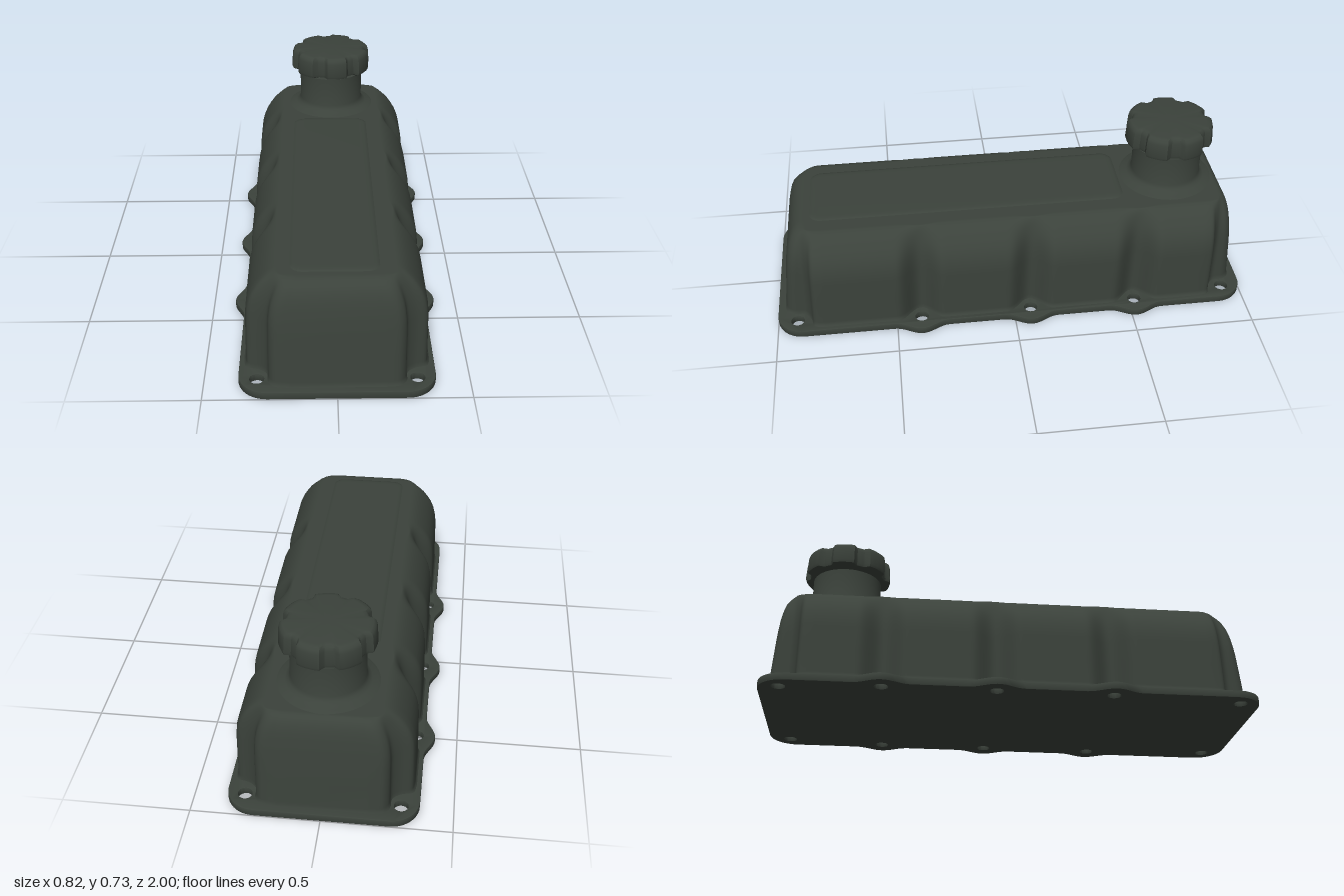
import * as THREE from 'three';
import { toCreasedNormals } from 'three/addons/utils/BufferGeometryUtils.js';

const sideBolts = [-0.52, -0.07, 0.395];
const cornerBolt = [0.3, 0.916];

// smooth 0..1 bump around every side bolt
function bump(z, width) {
  let b = 0;
  for (const zb of sideBolts) {
    const t = Math.abs(z - zb) / width;
    if (t < 1) b = Math.max(b, Math.cos(t * Math.PI / 2) ** 2);
  }
  return b;
}

// closed ring from its +x half, listed back to front
const mirrorRing = (half) => half.concat(half.slice().reverse().map(([x, z]) => [-x, z]));

// base plate with bolt ears and through holes
function flangeGeometry() {
  const half = [], r = 0.11, hx = 0.37;
  for (let i = 0; i <= 10; i++) {
    const a = -Math.PI / 2 + i / 10 * Math.PI / 2;
    half.push([hx - r + r * Math.cos(a), -1 + r + r * Math.sin(a)]);
  }
  for (let i = 1; i < 120; i++) {
    const z = -0.89 + 1.78 * i / 120;
    half.push([hx + 0.04 * bump(z, 0.115), z]);
  }
  for (let i = 0; i <= 10; i++) {
    const a = i / 10 * Math.PI / 2;
    half.push([hx - r + r * Math.cos(a), 1 - r + r * Math.sin(a)]);
  }
  const shape = new THREE.Shape(mirrorRing(half).map(([x, z]) => new THREE.Vector2(x, z)));
  const holes = sideBolts.map((z) => [0.335, z]).concat([cornerBolt, [cornerBolt[0], -cornerBolt[1]]]);
  for (const [x, z] of holes) {
    for (const s of [-1, 1]) {
      shape.holes.push(new THREE.Path().absarc(s * x, z, 0.027, 0, Math.PI * 2, true));
    }
  }
  const g = new THREE.ExtrudeGeometry(shape, {
    depth: 0.023, bevelThickness: 0.004, bevelSize: 0.004, bevelOffset: -0.004, bevelSegments: 2, curveSegments: 16,
  });
  g.rotateX(Math.PI / 2).translate(0, 0.027, 0);
  return toCreasedNormals(g, 0.6);
}

// cover shell: a scalloped lower outline lofted into a plain rounded roof outline
function shellGeometry() {
  const scoop = new THREE.CatmullRomCurve3([
    [0.345, 0.8], [0.335, 0.843], [0.292, 0.858], [0.26, 0.885], [0.254, 0.93], [0.23, 0.958], [0.17, 0.966],
  ].map(([x, z]) => new THREE.Vector3(x, 0, z)));
  const low = [], top = [], n = 24;
  const corner = (i, s) => {
    const p = scoop.getPoint(i / n), a = i / n * Math.PI / 2;
    low.push([p.x, s * p.z]);
    top.push([0.15 + 0.09 * Math.cos(a), s * (0.79 + 0.09 * Math.sin(a)) * (s < 0 ? 1.035 : 1)]);
  };
  for (let i = n; i >= 0; i--) corner(i, -1);
  for (let i = 1; i < 120; i++) {
    const t = i / 120, z = -0.8 + 1.6 * t;
    low.push([0.345 - 0.066 * bump(z, 0.1), z]);
    top.push([0.24, -0.818 + 1.608 * t]);
  }
  for (let i = 0; i <= n; i++) corner(i, 1);
  const lowRing = mirrorRing(low), topRing = mirrorRing(top), count = lowRing.length;

  // height, blend across, blend along
  const rows = [
    [0.028, -0.1, -0.1], [0.036, -0.03, -0.03], [0.05, 0, 0], [0.15, 0.01, 0.12], [0.25, 0.03, 0.25],
    [0.29, 0.07, 0.32], [0.325, 0.15, 0.39], [0.355, 0.27, 0.47], [0.38, 0.42, 0.55], [0.405, 0.6, 0.67],
    [0.423, 0.78, 0.82], [0.436, 0.94, 1.0], [0.443, 1.1, 1.2], [0.444, 1.2, 1.4],
  ];
  const pos = [], index = [];
  for (const [y, kx, kz] of rows) {
    for (let i = 0; i < count; i++) {
      pos.push(THREE.MathUtils.lerp(lowRing[i][0], topRing[i][0], kx), y,
        THREE.MathUtils.lerp(lowRing[i][1], topRing[i][1], kz));
    }
  }
  for (let r = 0; r < rows.length - 1; r++) {
    for (let i = 0; i < count; i++) {
      const j = (i + 1) % count, a = r * count + i, b = r * count + j;
      index.push(a, a + count, b, b, a + count, b + count);
    }
  }
  // flat roof
  const base = (rows.length - 1) * count, centre = pos.length / 3;
  pos.push(0, 0.444, 0);
  for (let i = 0; i < count; i++) index.push(centre, base + (i + 1) % count, base + i);
  const g = new THREE.BufferGeometry();
  g.setAttribute('position', new THREE.Float32BufferAttribute(pos, 3));
  g.setIndex(index);
  g.computeVertexNormals();
  return g;
}

// shallow raised panel along the roof
function panelGeometry() {
  const x0 = -0.175, x1 = 0.16, z0 = -0.49, z1 = 0.83, r = 0.05;
  const s = new THREE.Shape();
  s.absarc(x1 - r, z1 - r, r, 0, Math.PI / 2);
  s.absarc(x0 + r, z1 - r, r, Math.PI / 2, Math.PI);
  s.absarc(x0 + r, z0 + r, r, Math.PI, Math.PI * 1.5);
  s.absarc(x1 - r, z0 + r, r, Math.PI * 1.5, Math.PI * 2);
  const g = new THREE.ExtrudeGeometry(s, {
    depth: 0.003, bevelThickness: 0.006, bevelSize: 0.03, bevelOffset: -0.03, bevelSegments: 3,
  });
  g.rotateX(Math.PI / 2).translate(0, 0.443, 0);
  return toCreasedNormals(g, 0.6);
}

function lathe(points, segments) {
  return new THREE.LatheGeometry(points.map(([x, y]) => new THREE.Vector2(x, y)), segments);
}

// filler cap with seven finger grooves
function capGeometry() {
  const g = lathe([[0, 0.624], [0.165, 0.624], [0.18, 0.63], [0.184, 0.642], [0.18, 0.7],
    [0.176, 0.715], [0.166, 0.723], [0.15, 0.725], [0, 0.725]], 126);
  const p = g.attributes.position;
  for (let i = 0; i < p.count; i++) {
    const wave = Math.cos(7 * (Math.atan2(p.getX(i), p.getZ(i)) - 0.6));
    const k = 1 - 0.12 * THREE.MathUtils.smoothstep(wave, 0.1, 0.8);
    p.setX(i, p.getX(i) * k);
    p.setZ(i, p.getZ(i) * k);
  }
  return toCreasedNormals(g, 0.7);
}

export function createModel() {
  const group = new THREE.Group();
  const paint = new THREE.MeshStandardMaterial({ color: 0x3b423b });
  paint.name = 'dark green grey';
  const add = (name, geometry, z = 0) => {
    const mesh = new THREE.Mesh(geometry, paint);
    mesh.name = name;
    mesh.position.z = z;
    group.add(mesh);
  };
  add('flange', flangeGeometry());
  add('coverShell', shellGeometry());
  add('roofPanel', panelGeometry());

  // filler neck with flared foot and narrow collar under the cap
  const neckZ = -0.697;
  add('fillerNeck', toCreasedNormals(lathe([[0.2, 0.442], [0.185, 0.45], [0.165, 0.456], [0.152, 0.465],
    [0.145, 0.482], [0.145, 0.614], [0.108, 0.614], [0.108, 0.63]], 64), 0.7), neckZ);
  add('fillerCap', capGeometry(), neckZ);
  return group;
}
